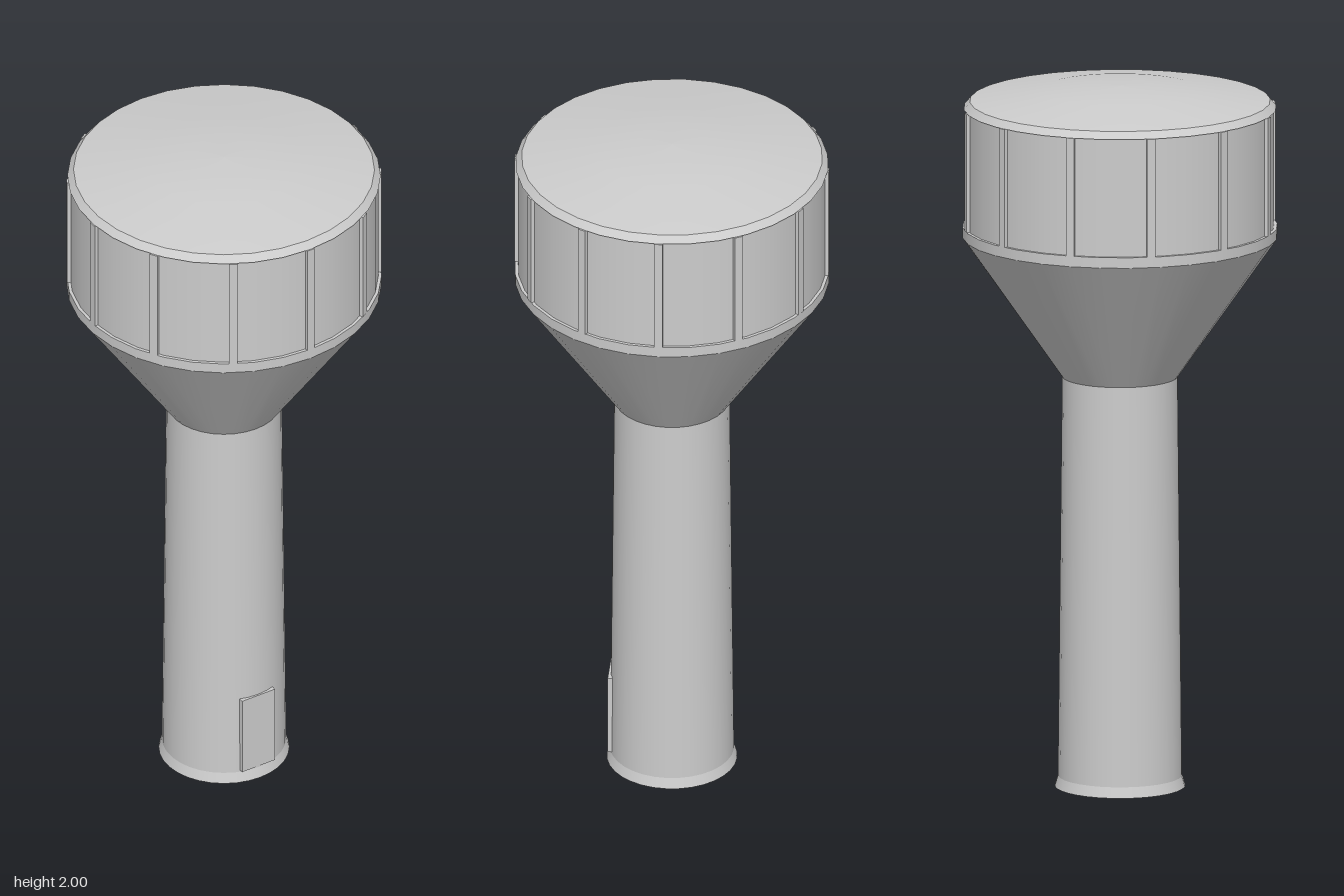
import * as THREE from 'three';

export function createModel() {
  const model = new THREE.Group();
  const concrete = new THREE.MeshStandardMaterial({ color: 0xcccccc });
  concrete.name = 'concrete grey';

  function add(name, geometry) {
    const mesh = new THREE.Mesh(geometry, concrete);
    mesh.name = name;
    model.add(mesh);
    return mesh;
  }
  // Each turned section is its own lathe, so edges between sections stay crisp
  function turned(name, points) {
    return add(name, new THREE.LatheGeometry(points.map(([r, y]) => new THREE.Vector2(r, y)), 32));
  }

  // Stem
  turned('baseUnderside', [[0, 0], [0.183, 0]]);
  turned('baseFlare', [[0.183, 0], [0.174, 0.03]]);
  turned('shaft', [[0.174, 0.03], [0.162, 1.17]]);

  // Tank
  turned('tankFunnel', [[0.162, 1.17], [0.441, 1.57]]);
  turned('lowerBand', [[0.441, 1.57], [0.441, 1.6]]);
  turned('lowerLedge', [[0.441, 1.6], [0.432, 1.6]]);
  turned('tankWall', [[0.432, 1.6], [0.432, 1.937]]);
  turned('rimUnderside', [[0.432, 1.937], [0.438, 1.937]]);
  turned('rimChamfer', [[0.438, 1.937], [0.421, 1.957]]);
  turned('roofDome', [[0.421, 1.957], [0.22, 1.988], [0.1, 1.997], [0, 2]]);

  // Twelve vertical ribs around the tank wall
  const ribs = new THREE.Group();
  ribs.name = 'tankRibs';
  const ribGeometry = new THREE.BoxGeometry(0.024, 0.337, 0.024);
  for (let i = 0; i < 12; i++) {
    const angle = (i / 12) * Math.PI * 2;
    const rib = new THREE.Mesh(ribGeometry, concrete);
    rib.name = 'rib';
    rib.position.set(Math.sin(angle) * 0.429, 1.7685, Math.cos(angle) * 0.429);
    rib.rotation.y = angle;
    ribs.add(rib);
  }
  model.add(ribs);

  // Entrance door at the foot of the shaft
  add('door', new THREE.BoxGeometry(0.11, 0.24, 0.04)).position.set(0, 0.155, 0.156);

  return model;
}
